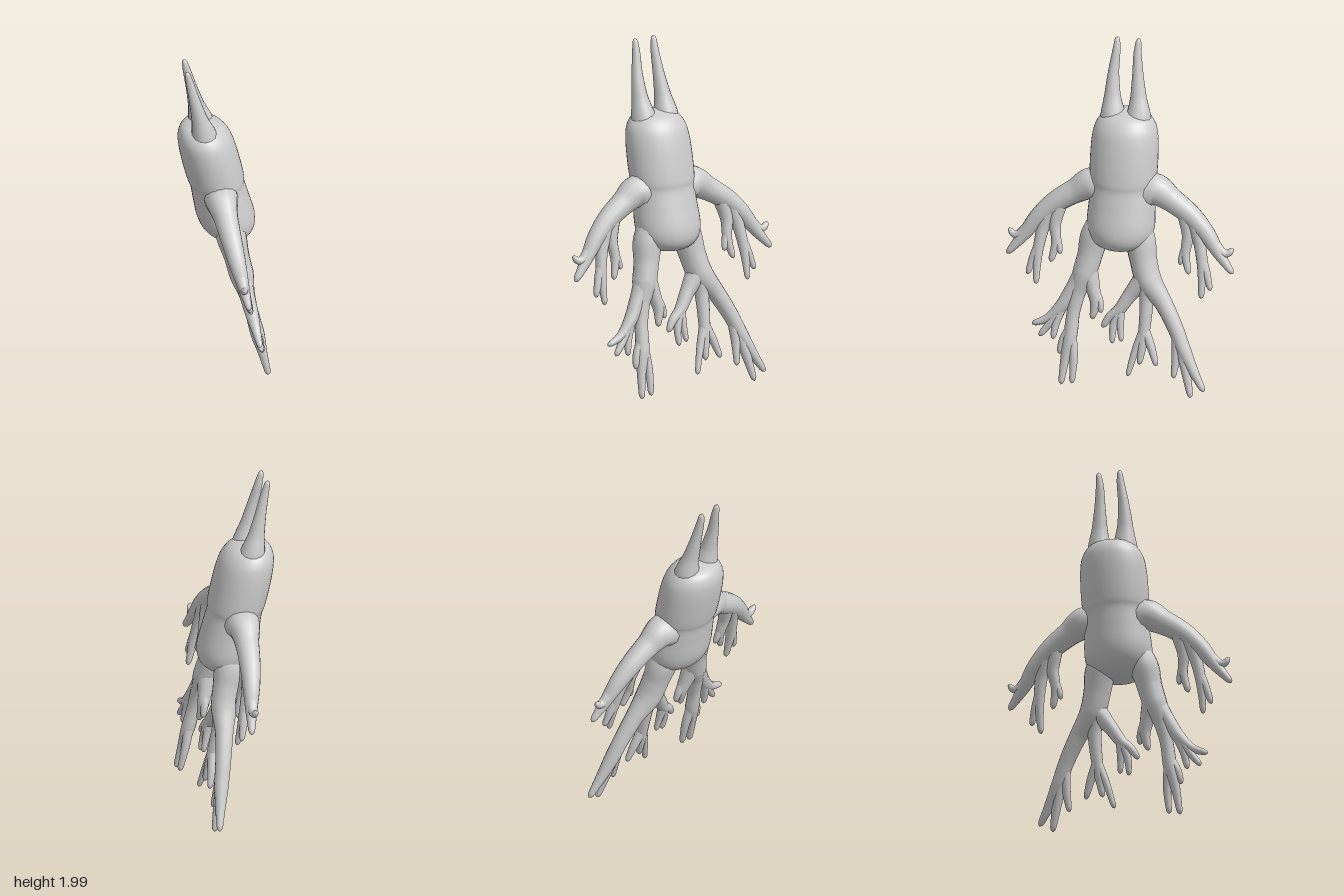
import * as THREE from 'three';
import { mergeVertices } from 'three/addons/utils/BufferGeometryUtils.js';

const material = new THREE.MeshStandardMaterial({ color: 0xcccccc });

// The whole figure lies in a plane that leans forward with height.
const lean = (y) => -0.18 + 0.22 * y;

function smooth(geometry) {
  geometry.deleteAttribute('uv');
  geometry.deleteAttribute('normal');
  const g = mergeVertices(geometry, 1e-5);
  g.computeVertexNormals();
  return g;
}

// Tapered, round-ended limb through points [sideways, height, radius].
function limb(points, sides = 14) {
  const steps = 12 * (points.length - 1) + 8;
  const curve = new THREE.CatmullRomCurve3(points.map(([s, y]) => new THREE.Vector3(s, y, lean(y))));
  const radii = new THREE.CatmullRomCurve3(points.map(([s, y, r]) => new THREE.Vector3(r, 0, 0)));
  const g = new THREE.TubeGeometry(curve, steps, 1, sides);
  const pos = g.attributes.position;
  const length = curve.getLength();
  const tip = points[points.length - 1][2];
  const v = new THREE.Vector3();
  for (let i = 0; i <= steps; i++) {
    const u = i / steps;
    const centre = curve.getPointAt(u);
    let r = radii.getPoint(curve.getUtoTmapping(u)).x;
    // round off the far end
    const cap = Math.max(0, 1 - ((1 - u) * length) / (tip * 2));
    r *= Math.sqrt(Math.max(0.0004, 1 - cap * cap));
    for (let j = 0; j <= sides; j++) {
      const k = i * (sides + 1) + j;
      v.fromBufferAttribute(pos, k).sub(centre).multiplyScalar(r).add(centre);
      pos.setXYZ(k, v.x, v.y, v.z);
    }
  }
  return smooth(g);
}

function addLimbs(parent, name, paths, mirror = 1) {
  const group = new THREE.Group();
  group.name = name;
  paths.forEach((path, i) => {
    const mesh = new THREE.Mesh(limb(path.map(([s, y, r]) => [s * mirror, y, r])), material);
    mesh.name = i === 0 ? name + 'Stem' : name + 'Branch' + i;
    group.add(mesh);
  });
  parent.add(group);
}

// Body: barrel with a slightly wider hood, flattened front to back.
function makeBody() {
  const profile = new THREE.SplineCurve([
    [0, 0.815], [0.1, 0.825], [0.17, 0.87], [0.2, 0.95], [0.194, 1.08], [0.188, 1.17],
    [0.197, 1.22], [0.2, 1.32], [0.195, 1.44], [0.175, 1.52], [0.12, 1.575], [0, 1.6],
  ].map(([r, y]) => new THREE.Vector2(r, y))).getPoints(60);
  profile.forEach((p) => { p.x = Math.max(p.x, 0); });
  const g = new THREE.LatheGeometry(profile, 40);
  const pos = g.attributes.position;
  for (let i = 0; i < pos.count; i++) {
    const y = pos.getY(i);
    pos.setXYZ(i, pos.getX(i) * 0.97 + 0.005, y, pos.getZ(i) * 0.82 + lean(y));
  }
  const mesh = new THREE.Mesh(smooth(g), material);
  mesh.name = 'body';
  return mesh;
}

export function createModel() {
  const root = new THREE.Group();
  root.name = 'creature';
  const figure = new THREE.Group();
  figure.name = 'figure';
  figure.rotation.y = -Math.PI / 4;
  root.add(figure);

  figure.add(makeBody());

  // Horns
  addLimbs(figure, 'leftHorn', [
    [[0.075, 1.48, 0.085], [0.083, 1.57, 0.07], [0.09, 1.67, 0.047], [0.09, 1.8, 0.032], [0.08, 1.92, 0.023], [0.077, 2, 0.014]],
  ]);
  addLimbs(figure, 'rightHorn', [
    [[-0.06, 1.48, 0.085], [-0.066, 1.57, 0.07], [-0.06, 1.67, 0.047], [-0.05, 1.8, 0.032], [-0.043, 1.92, 0.023], [-0.046, 2, 0.014]],
  ]);

  // Arms: stem to the outer finger, then the side branches
  const arm = [
    [[0.08, 1.13, 0.1], [0.18, 1.16, 0.095], [0.28, 1.11, 0.07], [0.4, 1.03, 0.06], [0.49, 0.94, 0.05], [0.57, 0.83, 0.034], [0.655, 0.725, 0.016]],
    [[0.54, 0.88, 0.036], [0.59, 0.84, 0.027], [0.62, 0.84, 0.021], [0.65, 0.87, 0.015]],
    [[0.42, 1.0, 0.05], [0.455, 0.88, 0.036], [0.475, 0.76, 0.03], [0.478, 0.66, 0.022], [0.477, 0.57, 0.015]],
    [[0.47, 0.8, 0.028], [0.5, 0.72, 0.024], [0.53, 0.62, 0.015]],
    [[0.37, 1.03, 0.05], [0.385, 0.92, 0.036], [0.375, 0.82, 0.027], [0.4, 0.7, 0.016]],
    [[0.385, 0.88, 0.026], [0.36, 0.81, 0.021], [0.345, 0.75, 0.015]],
  ];
  addLimbs(figure, 'leftArm', arm);
  addLimbs(figure, 'rightArm', arm, -1);

  // Left leg: thigh, outer, lower and inner branches with toes
  addLimbs(figure, 'leftLeg', [
    [[0.1, 0.96, 0.09], [0.15, 0.87, 0.085], [0.175, 0.76, 0.072], [0.2, 0.66, 0.07], [0.235, 0.54, 0.046], [0.255, 0.42, 0.038], [0.265, 0.3, 0.04], [0.29, 0.16, 0.026], [0.306, 0.02, 0.016]],
    [[0.26, 0.32, 0.03], [0.24, 0.18, 0.024], [0.243, 0.03, 0.016]],
    [[0.265, 0.34, 0.03], [0.305, 0.27, 0.024], [0.325, 0.19, 0.016]],
    [[0.2, 0.67, 0.06], [0.26, 0.57, 0.045], [0.325, 0.46, 0.038], [0.4, 0.385, 0.025], [0.49, 0.345, 0.015]],
    [[0.32, 0.47, 0.034], [0.38, 0.37, 0.025], [0.445, 0.28, 0.015]],
    [[0.315, 0.47, 0.03], [0.35, 0.37, 0.024], [0.365, 0.27, 0.015]],
    [[0.185, 0.68, 0.06], [0.15, 0.58, 0.042], [0.13, 0.5, 0.032], [0.145, 0.4, 0.015]],
    [[0.14, 0.57, 0.03], [0.105, 0.5, 0.022], [0.095, 0.44, 0.014]],
  ]);

  // Right leg: thigh, outer, middle and inner branches with toes
  addLimbs(figure, 'rightLeg', [
    [[-0.07, 0.96, 0.09], [-0.11, 0.87, 0.088], [-0.135, 0.76, 0.078], [-0.17, 0.65, 0.075], [-0.26, 0.53, 0.052], [-0.34, 0.39, 0.045], [-0.39, 0.28, 0.042], [-0.46, 0.15, 0.028], [-0.52, 0.05, 0.016]],
    [[-0.37, 0.32, 0.036], [-0.41, 0.16, 0.028], [-0.445, 0.01, 0.016]],
    [[-0.35, 0.36, 0.034], [-0.35, 0.24, 0.026], [-0.34, 0.11, 0.015]],
    [[-0.16, 0.66, 0.065], [-0.165, 0.53, 0.04], [-0.16, 0.38, 0.034], [-0.15, 0.27, 0.026], [-0.14, 0.17, 0.015]],
    [[-0.16, 0.37, 0.03], [-0.115, 0.25, 0.022], [-0.075, 0.1, 0.014]],
    [[-0.16, 0.37, 0.03], [-0.205, 0.27, 0.024], [-0.24, 0.17, 0.015]],
    [[-0.15, 0.66, 0.065], [-0.07, 0.56, 0.042], [-0.01, 0.47, 0.034], [0.045, 0.42, 0.025], [0.085, 0.36, 0.015]],
    [[-0.01, 0.47, 0.03], [0.02, 0.37, 0.022], [0.022, 0.275, 0.014]],
    [[-0.015, 0.47, 0.028], [-0.02, 0.38, 0.021], [-0.03, 0.29, 0.014]],
  ]);

  return root;
}
